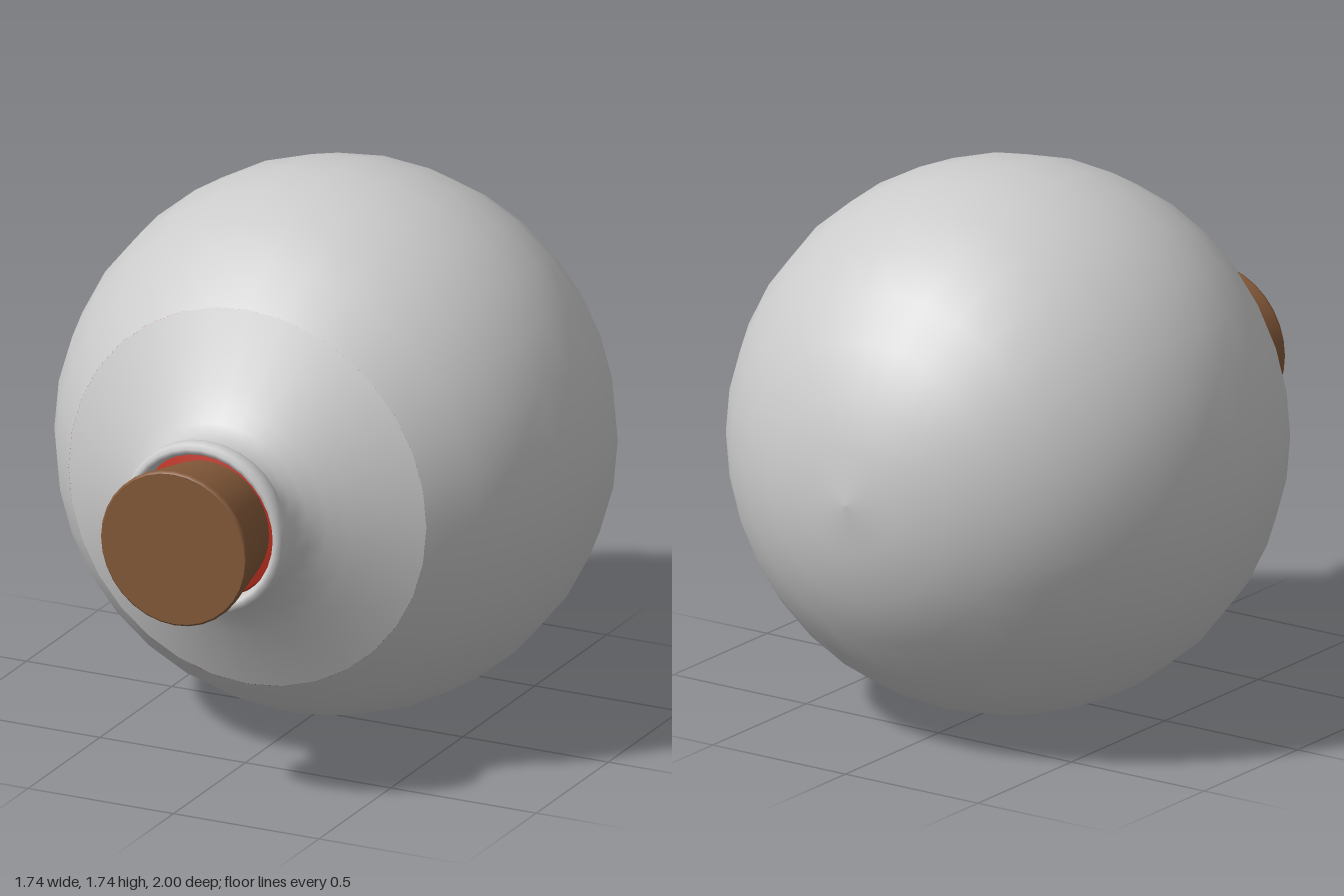
import * as THREE from 'three';

const SEGMENTS = 32;
const RADIUS = 0.87;
const CENTRE = -0.13; // bowl centre along the flask axis

const glass = new THREE.MeshStandardMaterial({ color: 0xcccccc });
const cork = new THREE.MeshStandardMaterial({ color: 0x855a3a });
const red = new THREE.MeshStandardMaterial({ color: 0xc03020 });

// Points of a circular arc [radius, z], from the back pole to the 45 degree shoulder
function bowlArc(r) {
  const arc = [];
  for (let i = 0; i <= 12; i++) {
    const a = (i * Math.PI) / 16;
    arc.push([i ? r * Math.sin(a) : 0, CENTRE - r * Math.cos(a)]);
  }
  return arc;
}

// Turns a [radius, z] profile around the z axis
function turned(name, profile, material) {
  const geometry = new THREE.LatheGeometry(profile.map(([r, z]) => new THREE.Vector2(r, z)), SEGMENTS);
  geometry.rotateX(Math.PI / 2);
  const mesh = new THREE.Mesh(geometry, material);
  mesh.name = name;
  return mesh;
}

export function createModel() {
  const flask = new THREE.Group();
  flask.name = 'flask';

  // Round bowl, ending in a crease at the shoulder
  flask.add(turned('bowl', bowlArc(RADIUS), glass));

  // Flared shoulder, neck, rolled lip and the wall inside the mouth
  flask.add(turned('neck', [
    [0.615, 0.485], [0.5, 0.545], [0.405, 0.6], [0.345, 0.635], [0.3, 0.67], [0.275, 0.705], [0.267, 0.74],
    [0.272, 0.752], [0.279, 0.765], [0.28, 0.785], [0.275, 0.803], [0.262, 0.814],
    [0.248, 0.81], [0.24, 0.795], [0.237, 0.75], [0.245, 0.7], [0.27, 0.66], [0.36, 0.59], [0.57, 0.47],
  ], glass));

  // Red filling that shows in the gap around the stopper
  flask.add(turned('liquid', [
    ...bowlArc(RADIUS - 0.03), [0.36, 0.575], [0.26, 0.65], [0.234, 0.7], [0.232, 0.76], [0, 0.76],
  ], red));

  // Tapered stopper with softened edges; flat ends are separate to stay crisp
  const stopper = new THREE.Group();
  stopper.name = 'stopper';
  stopper.add(turned('stopperSide', [[0.19, 0.65], [0.219, 0.81], [0.252, 0.985], [0.252, 0.994], [0.246, 1]], cork));
  stopper.add(turned('stopperFace', [[0.246, 1], [0, 1]], cork));
  stopper.add(turned('stopperEnd', [[0, 0.65], [0.19, 0.65]], cork));
  flask.add(stopper);

  // Lying flat, resting on the bowl
  flask.position.y = RADIUS;
  const model = new THREE.Group();
  model.name = 'corkedFlask';
  model.add(flask);
  return model;
}
